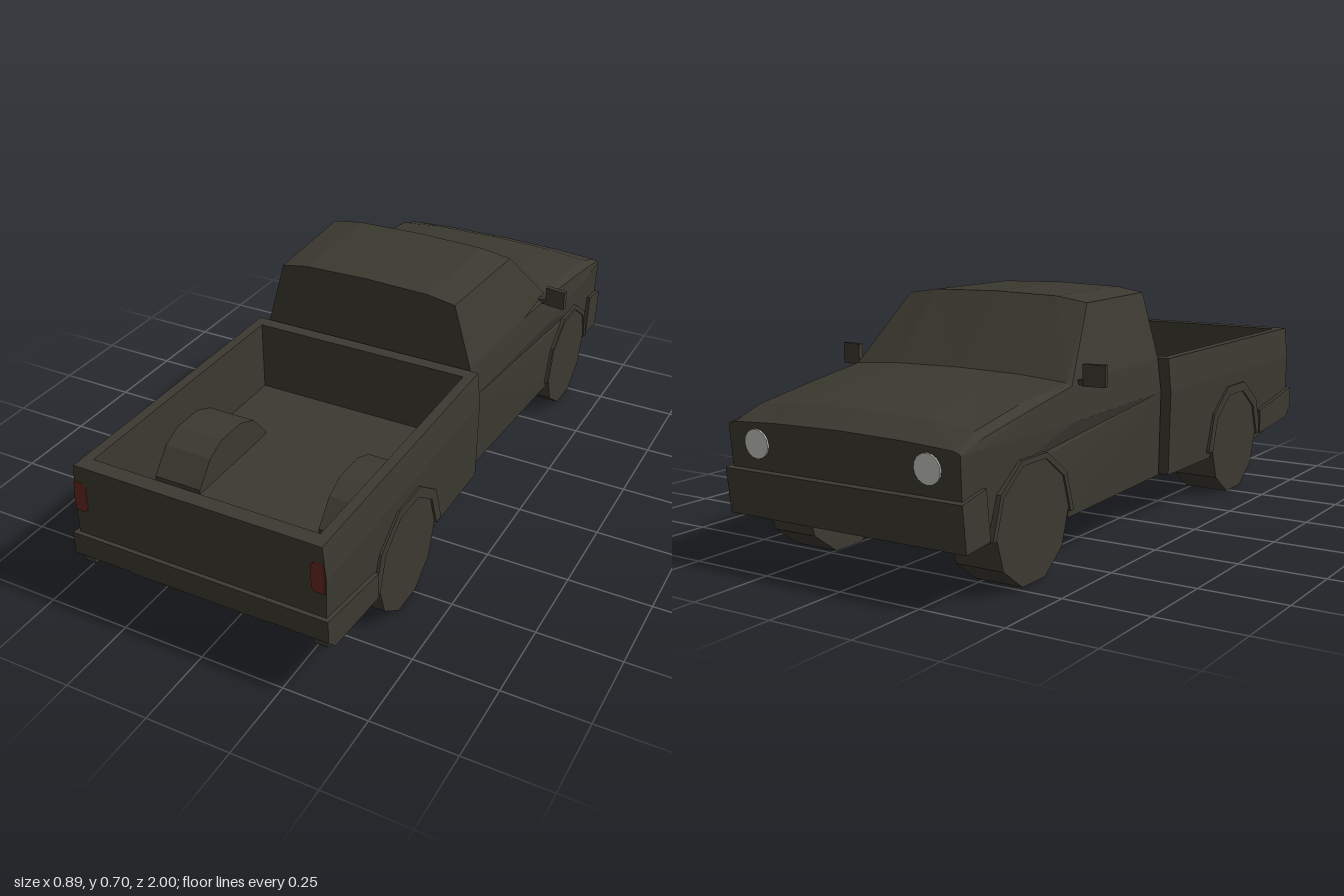
import * as THREE from 'three';

const paint = new THREE.MeshStandardMaterial({ color: 0x3b3930 });
paint.name = 'dark olive paint';
const red = new THREE.MeshStandardMaterial({ color: 0x64291f });
red.name = 'tail light red';
const pale = new THREE.MeshStandardMaterial({ color: 0xc4c4be });
pale.name = 'headlight grey';

const lerp = THREE.MathUtils.lerp;

export function createModel() {
  const model = new THREE.Group();

  function add(name, geometry, material = paint) {
    const geo = geometry.index ? geometry.toNonIndexed() : geometry;
    geo.computeVertexNormals(); // faceted style
    const mesh = new THREE.Mesh(geo, material);
    mesh.name = name;
    model.add(mesh);
    return mesh;
  }

  function box(name, x0, x1, y0, y1, z0, z1) {
    const g = new THREE.BoxGeometry(x1 - x0, y1 - y0, z1 - z0);
    return add(name, g.translate((x0 + x1) / 2, (y0 + y1) / 2, (z0 + z1) / 2));
  }

  // Side profile of [z, y] points, stretched from xLow to xHigh (numbers or rules of y, z)
  function sideExtrude(points, xLow, xHigh) {
    const shape = new THREE.Shape(points.map(([z, y]) => new THREE.Vector2(z, y)));
    const g = new THREE.ExtrudeGeometry(shape, { depth: 1, bevelEnabled: false });
    g.rotateY(-Math.PI / 2);
    const p = g.attributes.position;
    for (let i = 0; i < p.count; i++) {
      const rule = p.getX(i) > -0.5 ? xHigh : xLow;
      p.setX(i, typeof rule === 'function' ? rule(p.getY(i), p.getZ(i)) : rule);
    }
    return g;
  }

  // Lofts mirrored half sections { z, half: [[x, y]...] }, ordered from rear to nose
  function loft(sections) {
    const rings = sections.map(({ z, half }) => [
      ...half.map(([x, y]) => [x, y, z]),
      ...half.slice(0, -1).reverse().map(([x, y]) => [-x, y, z]),
    ]);
    const out = [];
    const tri = (a, b, c) => out.push(...a, ...b, ...c);
    const n = rings[0].length;
    for (let i = 0; i < rings.length - 1; i++) {
      for (let j = 0; j < n; j++) {
        const k = (j + 1) % n;
        const a = rings[i][j], b = rings[i][k], c = rings[i + 1][k], d = rings[i + 1][j];
        tri(a, d, c);
        tri(a, c, b);
      }
    }
    const first = rings[0], last = rings[rings.length - 1];
    for (let j = 1; j < n - 1; j++) {
      tri(first[0], first[j], first[j + 1]);
      tri(last[0], last[j + 1], last[j]);
    }
    const g = new THREE.BufferGeometry();
    g.setAttribute('position', new THREE.Float32BufferAttribute(out, 3));
    return g;
  }

  // Half decagon over a wheel, from its rear end to its front end
  const arc = (cz, cy, r) => [0, 1, 2, 3, 4, 5].map((i) => {
    const a = (i * Math.PI) / 5;
    return [cz + r * Math.cos(a), cy + r * Math.sin(a)];
  });

  const frontZ = -0.69, rearZ = 0.54, archY = 0.155, archR = 0.176;

  // Cab and nose below the waistline, with the front wheel arch
  const cabWidth = (y, z) => {
    const waist = z > -0.49 ? lerp(0.38, 0.352, (z + 0.49) / 0.55) : lerp(0.38, 0.372, (-0.49 - z) / 0.5);
    return waist - 0.02 * (0.39 - y);
  };
  add('lower cab and fenders', sideExtrude([
    [0.06, 0.135], [frontZ + archR, 0.135], ...arc(frontZ, archY, archR), [frontZ - archR, 0.15],
    [-0.975, 0.15], [-0.992, 0.39], [-0.49, 0.39], [0.06, 0.39],
  ], (y, z) => -cabWidth(y, z), cabWidth));
  box('front underbody', -0.235, 0.235, 0.14, 0.36, -0.95, -0.45);

  // Cabin with roof and windscreen slope, then the hood
  const cowl = { z: -0.49, half: [[0.38, 0.39], [0.372, 0.485], [0.355, 0.492], [0.21, 0.503], [0, 0.507]] };
  add('cabin', loft([
    { z: 0.06, half: [[0.352, 0.39], [0.34, 0.49], [0.285, 0.685], [0.2, 0.699], [0, 0.704]] },
    { z: -0.3, half: [[0.37, 0.39], [0.362, 0.49], [0.305, 0.685], [0.21, 0.699], [0, 0.704]] },
    cowl,
  ]));
  add('hood', loft([
    cowl,
    { z: -0.7, half: [[0.377, 0.39], [0.37, 0.45], [0.345, 0.466], [0.21, 0.475], [0, 0.479]] },
    { z: -0.9, half: [[0.374, 0.39], [0.369, 0.415], [0.35, 0.432], [0.21, 0.446], [0, 0.451]] },
    { z: -0.992, half: [[0.372, 0.39], [0.368, 0.395], [0.35, 0.4], [0.21, 0.408], [0, 0.412]] },
  ]));

  // Load bed: two-band side walls, floor, end walls
  const bedWidth = (y) => (y > 0.39 ? lerp(0.38, 0.37, (y - 0.39) / 0.1) : 0.38 - 0.02 * (0.39 - y));
  const lowerSide = [
    [0.985, 0.39], [0.985, 0.18], [rearZ + archR, 0.135], ...arc(rearZ, archY, archR),
    [rearZ - archR, 0.135], [0.07, 0.135], [0.07, 0.39],
  ];
  const upperSide = [[0.07, 0.39], [0.985, 0.39], [0.985, 0.49], [0.07, 0.49]];
  for (const profile of [lowerSide, upperSide]) {
    add('left bed side', sideExtrude(profile, 0.34, bedWidth));
    add('right bed side', sideExtrude(profile, (y) => -bedWidth(y), -0.34));
  }
  box('bed floor', -0.34, 0.34, 0.25, 0.272, 0.07, 0.985);
  box('bed front wall', -0.34, 0.34, 0.135, 0.49, 0.07, 0.11);
  box('tailgate', -0.34, 0.34, 0.2, 0.49, 0.94, 0.985);

  // Underside of the bed, with the deeper central pan
  add('bed underbody', sideExtrude([
    [0.97, 0.26], [0.97, 0.18], [0.72, 0.145], [0.07, 0.145], [0.07, 0.26],
  ], -0.235, 0.235));
  add('central pan', sideExtrude([
    [0.97, 0.26], [0.97, 0.19], [0.9, 0.165], [0.72, 0.128], [0.38, 0.112],
    [0.1, 0.112], [0.07, 0.15], [0.07, 0.26],
  ], -0.21, 0.21));
  box('frame link', -0.25, 0.25, 0.15, 0.25, 0.04, 0.08);

  // Bumpers; the rear one is raised in the middle
  add('front bumper', sideExtrude(
    [[-0.9, 0.295], [-1, 0.275], [-0.985, 0.15], [-0.885, 0.16]], -0.382, 0.382));
  for (const [x0, x1] of [[-0.39, -0.21], [0.21, 0.39]]) {
    add('rear bumper end', sideExtrude(
      [[1, 0.277], [0.73, 0.235], [0.73, 0.155], [0.965, 0.175], [1, 0.21]], x0, x1));
  }
  add('rear bumper centre', sideExtrude(
    [[1, 0.277], [0.9, 0.262], [0.9, 0.19], [0.965, 0.19], [1, 0.207]], -0.21, 0.21));

  // Parts mirrored left and right
  for (const side of [1, -1]) {
    const label = side > 0 ? 'left' : 'right';
    const span = (a, b) => (side > 0 ? [a, b] : [-b, -a]);

    for (const [axle, z, y] of [['front', frontZ, 0.168], ['rear', rearZ, 0.162]]) {
      const wheel = new THREE.CylinderGeometry(0.17, 0.17, 0.145, 10);
      wheel.rotateY(Math.PI / 2).rotateZ(Math.PI / 2);
      // Turned so a flat side rests on the ground
      wheel.computeBoundingBox();
      if (wheel.boundingBox.max.y > 0.165) wheel.rotateX(Math.PI / 10);
      add(`${label} ${axle} wheel`, wheel.translate(side * 0.3075, y, z));

      const lip = axle === 'rear' ? 0.205 : 0.19;
      add(`${label} ${axle} arch lip`, sideExtrude(
        [...arc(z, archY, lip), ...arc(z, archY, 0.174).reverse()], ...span(0.35, 0.385)));
    }

    // Wheel well rising from the bed floor
    add(`${label} wheel well`, sideExtrude([
      [0.695, 0.2], [0.695, 0.285], [0.635, 0.355], [0.575, 0.382],
      [0.475, 0.382], [0.41, 0.355], [0.35, 0.285], [0.35, 0.2],
    ], ...span(0.19, 0.341)));

    // Door mirror on a short stem
    const mirror = add(`${label} mirror`, new THREE.BoxGeometry(0.066, 0.06, 0.016));
    mirror.position.set(side * 0.413, 0.51, -0.441);
    mirror.rotation.y = side * -0.15;
    box(`${label} mirror stem`, ...span(0.355, 0.385), 0.483, 0.497, -0.455, -0.437);

    const lamp = new THREE.CylinderGeometry(0.04, 0.04, 0.009, 16);
    lamp.rotateX(Math.PI / 2 - 0.07);
    add(`${label} headlight`, lamp.translate(side * 0.275, 0.348, -0.9895), pale);

    // Tail light plate with clipped corners
    const outline = [[0.347, 0.35], [0.375, 0.35], [0.377, 0.39], [0.373, 0.44], [0.347, 0.44], [0.338, 0.43], [0.338, 0.36]];
    const plate = new THREE.Shape(outline.map(([x, y]) => new THREE.Vector2(side * x, y)));
    const tail = new THREE.ExtrudeGeometry(plate, { depth: 0.006, bevelEnabled: false });
    add(`${label} tail light`, tail.translate(0, 0, 0.983), red);
  }
  return model;
}
